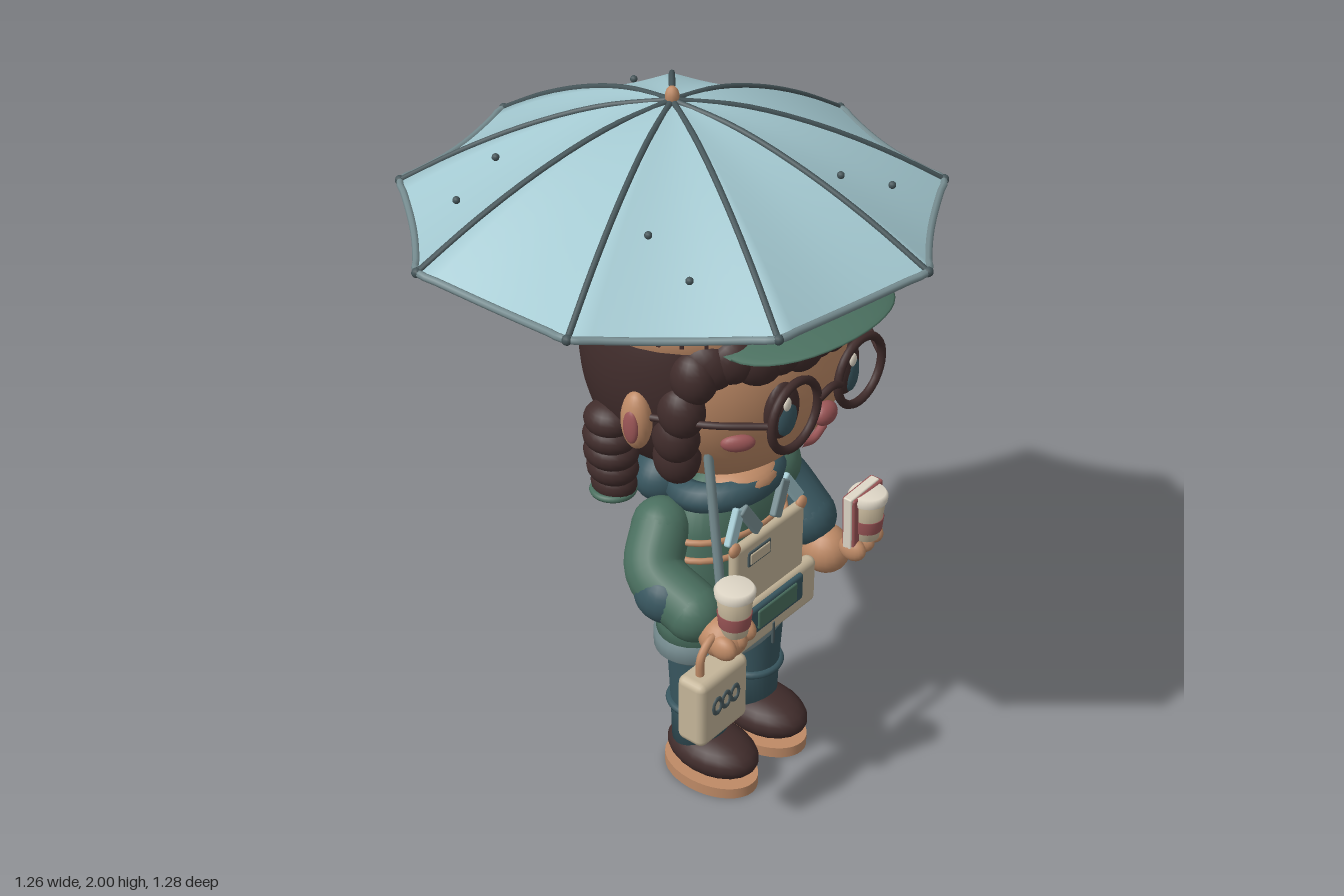
import * as THREE from 'three';
import { RoundedBoxGeometry } from 'three/addons/geometries/RoundedBoxGeometry.js';
import { ParametricGeometry } from 'three/addons/geometries/ParametricGeometry.js';

const colours = {
  canopyBlue: 0xa3c8d0, slate: 0x46565a, teal: 0x38565f, green: 0x4a6f5f, darkBrown: 0x402c2b,
  skin: 0xbe8a66, rose: 0x9a5556, cream: 0xc4b599, grey: 0x768c90, pale: 0xded6c6,
};
const M = {};
for (const [name, color] of Object.entries(colours)) {
  M[name] = new THREE.MeshStandardMaterial({ color });
  M[name].name = name;
}
M.canopyBlue.side = M.darkBrown.side = M.skin.side = THREE.DoubleSide;

const V = (p) => new THREE.Vector3(...p);

function add(parent, name, geo, mat, pos = [0, 0, 0], rot = [0, 0, 0], scale = [1, 1, 1]) {
  const m = new THREE.Mesh(geo, mat);
  m.name = name;
  m.position.set(...pos);
  m.rotation.set(...rot);
  m.scale.set(...scale);
  parent.add(m);
  return m;
}
// Larger balls get more segments
function ball(p, name, mat, pos, radii, rot) {
  const size = Math.max(...radii);
  const n = size > 0.15 ? 40 : size > 0.03 ? 20 : 10;
  return add(p, name, new THREE.SphereGeometry(1, n, Math.round(n * 0.7)), mat, pos, rot, radii);
}
const box = (p, name, mat, pos, size, r = 0.01, rot) =>
  add(p, name, new RoundedBoxGeometry(...size, 2, r), mat, pos, rot);
const ring = (p, name, mat, pos, R, r, rot, scale) =>
  add(p, name, new THREE.TorusGeometry(R, r, 8, 36), mat, pos, rot, scale);
const tube = (p, name, mat, pts, r, closed = false, seg = 16) =>
  add(p, name, new THREE.TubeGeometry(new THREE.CatmullRomCurve3(pts.map(V), closed), seg, r, r > 0.05 ? 20 : 8, closed), mat);
const lathe = (p, name, mat, pts, pos, scale) =>
  add(p, name, new THREE.LatheGeometry(pts.map((q) => new THREE.Vector2(...q)), 36), mat, pos, [0, 0, 0], scale);

// Umbrella with nine scalloped panels
function canopyPoint(a, k) {
  const step = Math.PI * 2 / 9;
  const t = ((a / step) % 1 + 1) % 1;
  const s = Math.sin(Math.PI * t);
  const chord = Math.cos(step / 2) / Math.cos((t - 0.5) * step);
  const r = 0.64 * k * chord * (1 - 0.02 * s);
  return [r * Math.cos(a), 1.965 - 0.255 * k ** 1.6 - 0.012 * s * k, -r * Math.sin(a)];
}
function umbrella() {
  const g = new THREE.Group();
  g.name = 'umbrella';
  g.position.x = -0.02;
  add(g, 'canopy', new ParametricGeometry((u, v, o) =>
    o.set(...canopyPoint(u * Math.PI * 2, 1 - v)), 90, 12), M.canopyBlue);
  const rim = [];
  for (let i = 0; i < 72; i++) rim.push(canopyPoint(i / 72 * Math.PI * 2, 1));
  tube(g, 'canopyRim', M.grey, rim, 0.009, true, 144);
  for (let i = 0; i < 9; i++) {
    const a = i / 9 * Math.PI * 2 + 1e-6;
    tube(g, 'rib', M.slate, [0.01, 0.25, 0.5, 0.75, 1].map((k) => canopyPoint(a, k)), 0.0075);
    ball(g, 'ribTip', M.slate, canopyPoint(a, 1), [0.012, 0.012, 0.012]);
  }
  const drops = [[-0.42, -0.29], [-0.29, -0.29], [0.19, -0.45], [0.22, -0.32],
    [-0.35, 0.21], [-0.37, 0.34], [0.13, 0.36], [0.26, 0.41]];
  for (const [x, z] of drops) {
    const k = Math.hypot(x + 0.02, z) / 0.62;
    const p = canopyPoint(Math.atan2(-z, x + 0.02), k);
    ball(g, 'drop', M.slate, [x + 0.02, p[1] + 0.002, z], [0.009, 0.009, 0.009]);
  }
  ball(g, 'finial', M.skin, [0, 1.975, 0], [0.017, 0.025, 0.017]);
  tube(g, 'shaft', M.grey, [[0, 1.96, 0], [-0.05, 1.38, 0.12], [-0.095, 0.6, 0.25]], 0.012);
  tube(g, 'handle', M.rose, [[-0.093, 0.64, 0.25], [-0.085, 0.56, 0.25], [-0.06, 0.545, 0.24], [-0.045, 0.57, 0.23]], 0.017);
  return g;
}

function face(h) {
  for (const s of [-1, 1]) {
    const x = s * 0.128;
    ball(h, 'eye', M.darkBrown, [x, 1.25, 0.296], [0.05, 0.078, 0.025], [0, s * 0.25, 0]);
    ball(h, 'iris', M.teal, [x, 1.235, 0.308], [0.032, 0.052, 0.018], [0, s * 0.25, 0]);
    ball(h, 'eyeGlint', M.pale, [x - 0.012, 1.28, 0.322], [0.013, 0.018, 0.007]);
    ring(h, 'glassesRim', M.darkBrown, [x, 1.25, 0.335], 0.088, 0.011);
    tube(h, 'glassesArm', M.darkBrown, [[s * 0.215, 1.26, 0.33], [s * 0.3, 1.26, 0.22], [s * 0.36, 1.25, 0.06]], 0.009);
    ball(h, 'cheek', M.rose, [s * 0.215, 1.175, 0.237], [0.042, 0.023, 0.018], [0, s * 0.75, 0]);
    ball(h, 'ear', M.skin, [s * 0.36, 1.235, 0.05], [0.035, 0.078, 0.04]);
    ball(h, 'innerEar', M.rose, [s * 0.387, 1.23, 0.055], [0.012, 0.045, 0.022]);
  }
  tube(h, 'glassesBridge', M.darkBrown, [[-0.042, 1.255, 0.34], [0, 1.27, 0.345], [0.042, 1.255, 0.34]], 0.01);
  ball(h, 'nose', M.rose, [0, 1.19, 0.33], [0.037, 0.03, 0.025]);
  tube(h, 'mouth', M.rose, [[-0.045, 1.11, 0.292], [0, 1.102, 0.296], [0.045, 1.12, 0.294]], 0.011);
}

function head() {
  const h = new THREE.Group();
  h.name = 'head';
  ball(h, 'face', M.skin, [0, 1.3, 0.025], [0.335, 0.36, 0.3]);
  face(h);
  // Hair shell, open at the face
  add(h, 'hairBack', new THREE.SphereGeometry(1, 48, 24, Math.PI * 0.77, Math.PI * 1.46, 0.9, 1.38),
    M.darkBrown, [0, 1.32, -0.005], [0, 0, 0], [0.368, 0.385, 0.3]);
  // Fringe and temple curls
  for (let i = -5; i <= 5; i++) {
    const a = i * 0.19;
    const r = 0.06 + 0.008 * (i & 1);
    ball(h, 'fringeCurl', M.darkBrown, [Math.sin(a) * 0.32, 1.4 - 0.012 * (i & 1), 0.015 + Math.cos(a) * 0.285],
      [r, 0.062, 0.045], [0, a, i * 0.15]);
  }
  for (const s of [-1, 1]) {
    [[0.285, 1.36, 0.16], [0.305, 1.27, 0.14], [0.3, 1.19, 0.12], [0.285, 1.12, 0.11]].forEach((p) =>
      ball(h, 'templeCurl', M.darkBrown, [s * p[0], p[1], p[2]], [0.055, 0.07, 0.06]));
    // Braided pigtails
    for (let i = 0; i < 5; i++) {
      const r = 0.056 + 0.008 * Math.sin(i * 0.9);
      ball(h, 'braid', M.darkBrown, [s * (0.335 - 0.004 * i), 1.18 - i * 0.047, -0.06], [r, 0.046, r + 0.008]);
    }
    ring(h, 'braidTie', M.green, [s * 0.322, 0.972, -0.06], 0.05, 0.009, [Math.PI / 2, 0, 0]);
  }
  // Cap crown, stitched band and brim
  add(h, 'capCrown', new THREE.SphereGeometry(1, 40, 16, 0, Math.PI * 2, 0, Math.PI / 2),
    M.skin, [0, 1.44, 0.005], [0, 0, 0], [0.352, 0.25, 0.288]);
  lathe(h, 'capBand', M.skin, [[0.352, 1.425], [0.364, 1.43], [0.364, 1.475], [0.35, 1.49]], [0, 0, 0], [1, 1, 0.82]);
  const stitch = new THREE.BoxGeometry(0.009, 0.04, 0.009);
  for (let i = 0; i < 36; i++) {
    const a = i / 36 * Math.PI * 2;
    add(h, 'bandStitch', stitch, M.darkBrown, [Math.sin(a) * 0.362, 1.466, Math.cos(a) * 0.297], [0, a, 0]);
  }
  for (let i = -5; i <= 5; i++) {
    const a = i * 0.25;
    ball(h, 'looseCurl', M.darkBrown, [Math.sin(a) * 0.35, 1.5 + 0.012 * (i & 1), Math.cos(a) * 0.285],
      [0.022, 0.034, 0.016], [0, a, 0.3]);
  }
  const brim = new THREE.SphereGeometry(1, 40, 16).scale(0.265, 0.012, 0.19);
  const p = brim.attributes.position;
  for (let i = 0; i < p.count; i++) p.setY(i, p.getY(i) - 0.4 * p.getX(i) ** 2);
  brim.computeVertexNormals();
  add(h, 'capBrim', brim, M.green, [0, 1.458, 0.25]);
  ball(h, 'capPanel', M.rose, [0.22, 1.54, 0.005], [0.17, 0.072, 0.268], [0, 0, -0.3]);
  ball(h, 'bun', M.darkBrown, [0.21, 1.59, -0.14], [0.1, 0.095, 0.098]);
  return h;
}

function torso() {
  const b = new THREE.Group();
  b.name = 'torso';
  lathe(b, 'coat', M.green, [[0, 0.42], [0.212, 0.42], [0.214, 0.5], [0.203, 0.65], [0.185, 0.8], [0.14, 0.89], [0.06, 0.94], [0, 0.94]],
    [0, 0, 0.025], [1, 1, 0.64]);
  lathe(b, 'coatHem', M.grey, [[0, 0.405], [0.205, 0.405], [0.221, 0.42], [0.221, 0.455], [0.21, 0.475]], [0, 0, 0.025], [1, 1, 0.64]);
  ball(b, 'neck', M.skin, [0, 0.912, 0.085], [0.105, 0.045, 0.085]);
  ball(b, 'hood', M.teal, [0, 0.88, -0.095], [0.175, 0.098, 0.1]);
  ring(b, 'hoodRim', M.teal, [0, 0.885, 0.03], 0.13, 0.04, [Math.PI / 2 - 0.15, 0, 0], [1, 0.85, 1]);
  for (const y of [0.735, 0.79]) ring(b, 'strap', M.skin, [0, y, 0.025], 0.197, 0.009, [Math.PI / 2, 0, 0], [1, 0.67, 1]);
  // Lapels
  for (const s of [-1, 1]) {
    box(b, 'lapel', M.canopyBlue, [s * 0.115, 0.835, 0.152], [0.034, 0.1, 0.02], 0.006, [-0.15, 0, s * 0.55]);
    box(b, 'lapel', M.grey, [s * 0.06, 0.835, 0.158], [0.034, 0.1, 0.02], 0.006, [-0.15, 0, -s * 0.55]);
    ball(b, 'strapButton', M.skin, [s * 0.135, 0.785, 0.17], [0.02, 0.02, 0.012]);
  }
  // Apron bib, pocket and flap
  box(b, 'apronBib', M.cream, [0, 0.685, 0.165], [0.285, 0.205, 0.03], 0.014);
  box(b, 'apronSkirt', M.cream, [0, 0.53, 0.175], [0.365, 0.14, 0.04], 0.018);
  box(b, 'pocket', M.teal, [0, 0.55, 0.195], [0.225, 0.082, 0.02], 0.009);
  box(b, 'pocketFlap', M.green, [0, 0.552, 0.204], [0.16, 0.058, 0.012], 0.005);
  box(b, 'apronTag', M.slate, [-0.05, 0.737, 0.181], [0.09, 0.044, 0.007], 0.003);
  box(b, 'apronTagFace', M.cream, [-0.05, 0.737, 0.184], [0.078, 0.032, 0.007], 0.003);
  box(b, 'apronSeam', M.slate, [0, 0.46, 0.194], [0.009, 0.07, 0.008], 0.003);
  return b;
}

function leg(s) {
  const l = new THREE.Group();
  l.name = s > 0 ? 'leftLeg' : 'rightLeg';
  l.position.set(s * 0.106, 0, 0.04);
  lathe(l, 'trouser', M.teal, [[0, 0.1], [0.074, 0.1], [0.078, 0.235], [0.088, 0.42], [0.085, 0.47]]);
  ring(l, 'trouserCuff', M.teal, [0, 0.235, 0], 0.08, 0.011, [Math.PI / 2, 0, 0]);
  ball(l, 'shoe', M.darkBrown, [0, 0.085, 0.045], [0.092, 0.062, 0.138]);
  add(l, 'sole', new THREE.CylinderGeometry(0.094, 0.094, 0.032, 36), M.skin, [0, 0.016, 0.04], [0, 0, 0], [1, 1, 1.5]);
  return l;
}

// Takeaway cup with lid and paper band
function cup(parent, pos) {
  const c = new THREE.Group();
  c.name = 'cup';
  c.position.set(...pos);
  lathe(c, 'cupBody', M.cream, [[0, 0], [0.034, 0], [0.047, 0.12], [0, 0.12]]);
  lathe(c, 'cupBand', M.rose, [[0.037, 0.025], [0.04, 0.025], [0.044, 0.062], [0.041, 0.062]]);
  lathe(c, 'cupLid', M.pale, [[0.05, 0.112], [0.052, 0.127], [0.045, 0.137], [0, 0.137]]);
  parent.add(c);
}

function arms() {
  const g = new THREE.Group();
  g.name = 'arms';
  const sleeve = (name, mat, pts, r) => {
    tube(g, name, mat, pts, r);
    for (const p of [pts[0], pts[pts.length - 1]]) ball(g, name + 'End', mat, p, [r, r, r]);
  };
  sleeve('leftSleeve', M.teal, [[0.19, 0.805, -0.03], [0.255, 0.73, 0], [0.27, 0.635, 0.09]], 0.08);
  ball(g, 'leftShoulder', M.green, [0.205, 0.805, 0.015], [0.085, 0.082, 0.08], [0, 0, 0.5]);
  sleeve('rightSleeve', M.green, [[-0.19, 0.805, -0.02], [-0.262, 0.725, 0.02], [-0.268, 0.665, 0.15]], 0.076);
  ball(g, 'rightElbowPatch', M.teal, [-0.29, 0.69, 0.07], [0.065, 0.07, 0.08]);
  ball(g, 'leftHand', M.skin, [0.275, 0.555, 0.15], [0.064, 0.068, 0.07]);
  ball(g, 'rightHand', M.skin, [-0.265, 0.635, 0.24], [0.06, 0.055, 0.065]);
  for (const s of [-1, 1])
    for (let i = 0; i < 3; i++)
      ball(g, 'finger', M.skin, [s * 0.265 + (i - 1) * 0.038, 0.635 + 0.008 * i, 0.27], [0.025, 0.034, 0.04]);
  cup(g, [-0.265, 0.665, 0.275]);
  cup(g, [0.265, 0.665, 0.285]);
  // Book behind the left cup
  box(g, 'bookCover', M.rose, [0.268, 0.722, 0.268], [0.125, 0.165, 0.04], 0.006, [0, 0, 0.05]);
  box(g, 'bookPages', M.pale, [0.262, 0.724, 0.268], [0.122, 0.168, 0.026], 0.004, [0, 0, 0.05]);
  return g;
}

function bag() {
  const g = new THREE.Group();
  g.name = 'handbag';
  g.position.set(-0.16, 0.475, 0.245);
  box(g, 'bagBody', M.cream, [0, 0, 0], [0.185, 0.195, 0.085], 0.02);
  tube(g, 'bagHandle', M.skin, [[-0.05, 0.09, 0], [-0.045, 0.15, 0], [0, 0.185, 0], [0.045, 0.15, 0], [0.05, 0.09, 0]], 0.011);
  for (const x of [-0.034, 0, 0.034])
    ring(g, 'bagEyelet', M.slate, [x, 0.012, 0.043], 0.015, 0.005, [0, 0, 0], [1, 1.4, 0.8]);
  return g;
}

export function createModel() {
  const model = new THREE.Group();
  model.name = 'figureWithUmbrella';
  const figure = new THREE.Group();
  figure.name = 'figure';
  figure.position.x = 0.15;
  figure.add(head(), torso(), arms(), leg(1), leg(-1));
  model.add(umbrella(), figure, bag());
  return model;
}
